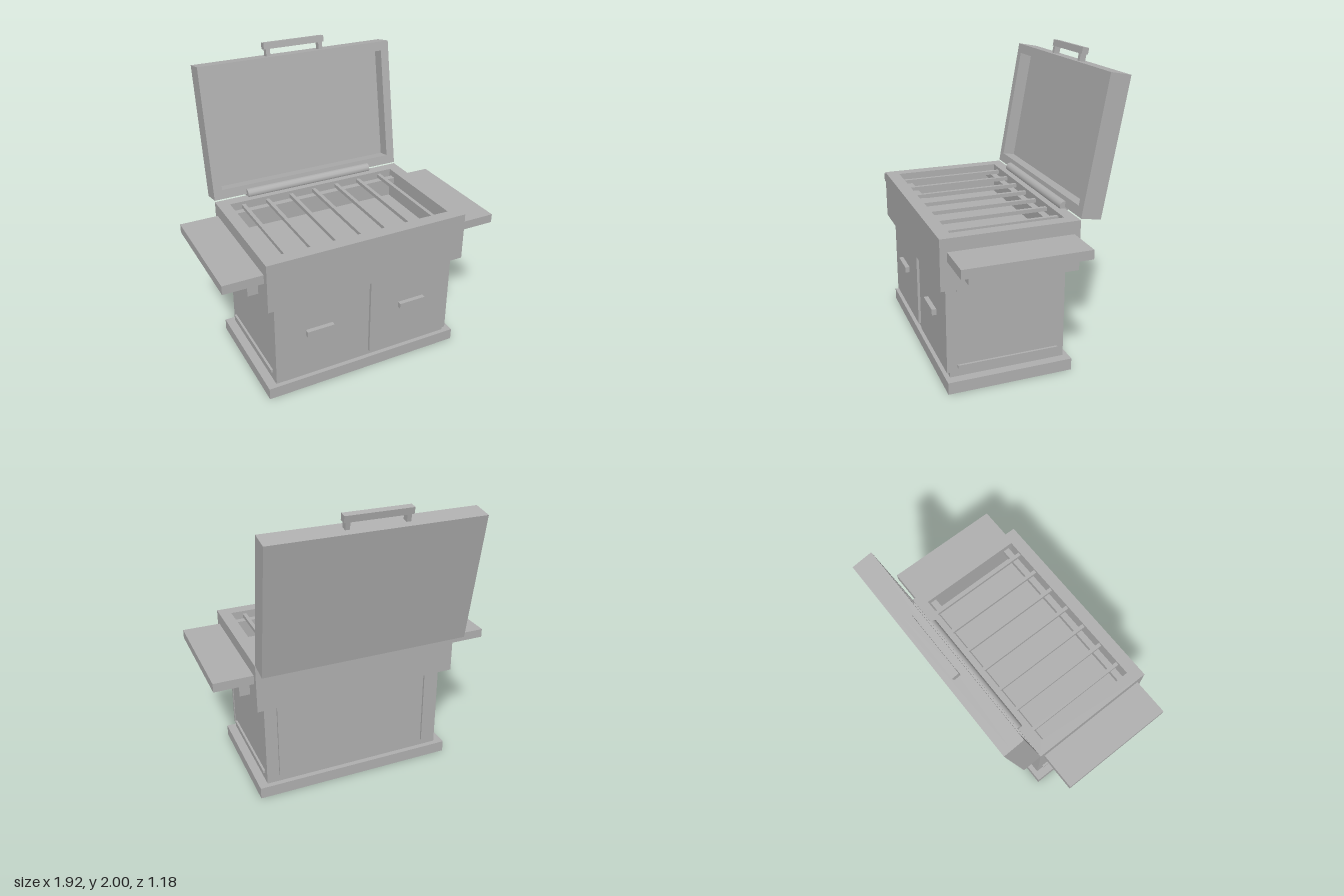
import * as THREE from 'three';

export function createModel() {
  const model = new THREE.Group();
  model.name = 'barbecueGrill';
  const grey = new THREE.MeshStandardMaterial({ color: 0xb0b0b0 });
  grey.name = 'plain grey';

  function add(name, geometry, parent) {
    const mesh = new THREE.Mesh(geometry, grey);
    mesh.name = name;
    parent.add(mesh);
    return mesh;
  }

  // Box given by its limits on each axis
  function box(name, [x0, x1], [y0, y1], [z0, z1], parent = model) {
    const mesh = add(name, new THREE.BoxGeometry(x1 - x0, y1 - y0, z1 - z0), parent);
    mesh.position.set((x0 + x1) / 2, (y0 + y1) / 2, (z0 + z1) / 2);
    return mesh;
  }

  // Rectangular frame in the xy plane, extruded along z
  function frame(w, y0, y1, holeW, holeY0, holeY1, depth) {
    const rect = (target, a, b, c) => {
      target.moveTo(-a, b);
      target.lineTo(a, b);
      target.lineTo(a, c);
      target.lineTo(-a, c);
      target.closePath();
      return target;
    };
    const shape = rect(new THREE.Shape(), w, y0, y1);
    shape.holes.push(rect(new THREE.Path(), holeW, holeY0, holeY1));
    return new THREE.ExtrudeGeometry(shape, { depth, bevelEnabled: false });
  }

  // Mirrored pair of limits on x
  const side = (s, a, b) => (s > 0 ? [a, b] : [-b, -a]);

  // Plinth and cabinet
  box('base', [-0.7, 0.7], [0, 0.08], [-0.27, 0.56]);
  box('cabinet', [-0.64, 0.64], [0.08, 0.7], [-0.235, 0.53]);

  // Firebox: solid floor and open rim
  box('fireboxFloor', [-0.7, 0.7], [0.7, 0.82], [-0.3, 0.595]);
  const rim = add('fireboxRim', frame(0.7, -0.595, 0.3, 0.62, -0.51, 0.225, 0.21), model);
  rim.rotation.x = -Math.PI / 2;
  rim.position.y = 0.82;

  // Cooking grate
  const grate = new THREE.Group();
  grate.name = 'grate';
  model.add(grate);
  for (let i = -3; i <= 3; i++) {
    const x = i * 0.175;
    box('grateBar', [x - 0.0125, x + 0.0125], [0.985, 1.01], [-0.225, 0.51], grate);
  }
  for (const z of [-0.183, 0.463]) {
    box('grateSupport', [-0.62, 0.62], [0.945, 0.985], [z - 0.022, z + 0.022], grate);
  }

  for (const s of [1, -1]) {
    // Doors and pulls
    box('door', side(s, 0.035, 0.645), [0.115, 0.68], [0.53, 0.55]);
    box('doorHandle', side(s, 0.245, 0.435), [0.415, 0.455], [0.55, 0.58]);
    // Side shelves and brackets
    box('sideShelf', side(s, 0.7, 0.96), [0.885, 0.945], [-0.26, 0.55]);
    box('shelfBracket', side(s, 0.7, 0.77), [0.75, 0.885], [-0.15, 0.445]);
    // Trim strips on cabinet sides and back
    for (const y of [0.14, 0.66]) {
      box('sideTrim', side(s, 0.64, 0.655), [y, y + 0.02], [-0.19, 0.48]);
    }
    box('backTrim', side(s, 0.525, 0.555), [0.13, 0.68], [-0.25, -0.235]);
  }

  // Hinge barrel
  const hinge = add('hinge', new THREE.CylinderGeometry(0.035, 0.035, 0.94, 12), model);
  hinge.rotation.z = Math.PI / 2;
  hinge.position.set(0, 1.042, -0.3);

  // Open lid, leaning back from its lower front edge
  const lid = new THREE.Group();
  lid.name = 'lid';
  lid.position.set(0, 1.04, -0.3);
  lid.rotation.x = -THREE.MathUtils.degToRad(10);
  model.add(lid);
  box('lidPanel', [-0.7, 0.7], [0, 0.893], [-0.137, -0.085], lid);
  const lidRim = add('lidRim', frame(0.7, 0, 0.893, 0.64, 0.064, 0.83, 0.085), lid);
  lidRim.position.z = -0.085;

  // Lid handle
  box('lidHandleBar', [-0.22, 0.22], [0.94, 0.983], [-0.089, -0.044], lid);
  for (const s of [1, -1]) {
    box('lidHandlePost', side(s, 0.178, 0.207), [0.893, 0.94], [-0.085, -0.044], lid);
  }

  return model;
}
